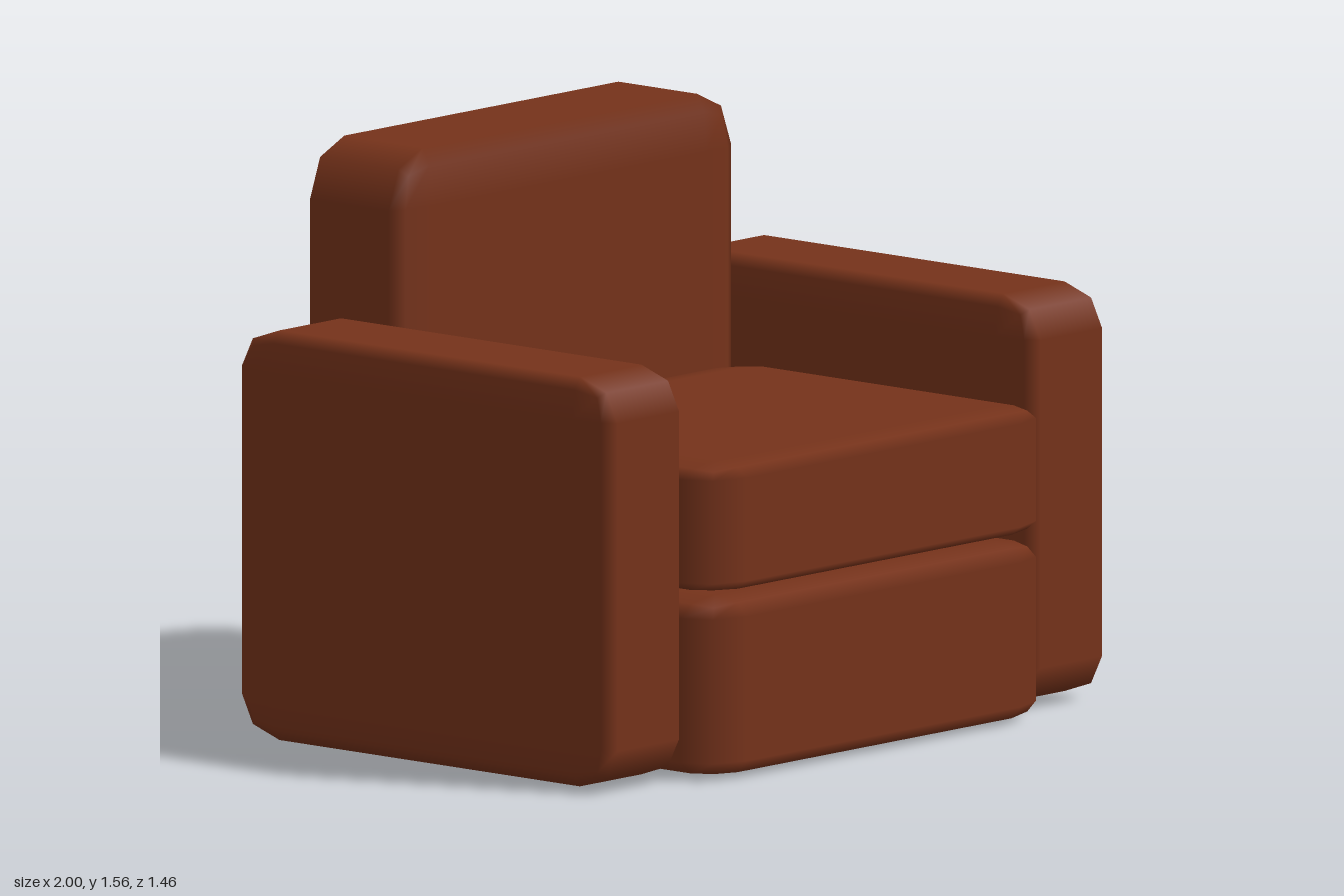
import * as THREE from 'three';
import { RoundedBoxGeometry } from 'three/addons/geometries/RoundedBoxGeometry.js';

export function createModel() {
  const chair = new THREE.Group();
  chair.name = 'armchair';
  const leather = new THREE.MeshStandardMaterial({ color: 0x75321a });

  // Padded block between two corners; its edges round over 10% of each side
  function pad(name, min, max) {
    const size = max.map((v, i) => v - min[i]);
    const geometry = new RoundedBoxGeometry(1, 1, 1, 1, 0.1);
    geometry.scale(...size);
    const mesh = new THREE.Mesh(geometry, leather);
    mesh.name = name;
    mesh.position.set(...min.map((v, i) => v + size[i] / 2));
    chair.add(mesh);
  }

  // Seat: base block with a loose cushion on top
  pad('seatBase', [-0.685, 0, -0.38], [0.685, 0.485, 0.73]);
  pad('seatCushion', [-0.685, 0.498, -0.38], [0.685, 0.845, 0.73]);

  // Tall backrest behind the seat
  pad('backrest', [-0.685, 0.04, -0.73], [0.685, 1.565, -0.383]);

  // Mirrored armrests
  pad('leftArmrest', [0.692, 0.01, -0.685], [1, 1.113, 0.645]);
  pad('rightArmrest', [-1, 0.01, -0.685], [-0.692, 1.113, 0.645]);

  return chair;
}
